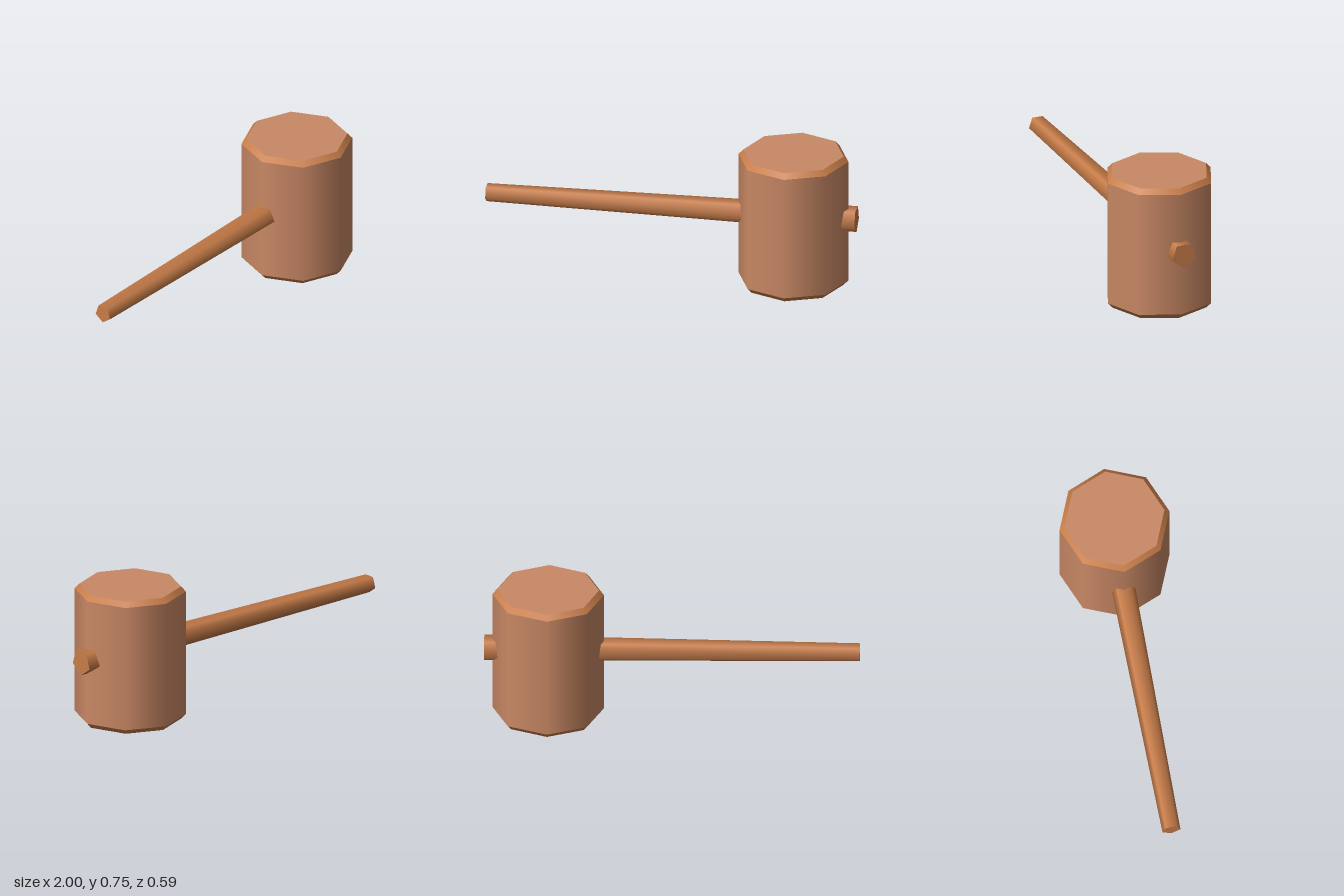
import * as THREE from 'three';

const HEAD_X = 0.659, HEAD_R = 0.297, CAP_R = 0.271, HEIGHT = 0.745, BEVEL = 0.028;
const HANDLE_Y = 0.385;

export function createModel() {
  const headWood = new THREE.MeshStandardMaterial({ color: 0xc98865 });
  headWood.name = 'headWood';
  const handleWood = new THREE.MeshStandardMaterial({ color: 0xc87d49 });
  handleWood.name = 'handleWood';

  const model = new THREE.Group();
  model.name = 'mallet';
  const add = (parent, name, geometry, material) => {
    const mesh = new THREE.Mesh(geometry, material);
    mesh.name = name;
    parent.add(mesh);
    return mesh;
  };

  // Eight-sided head: smooth barrel, orange bevel rings and flat striking faces
  const head = new THREE.Group();
  head.name = 'head';
  head.position.set(HEAD_X, HEIGHT / 2, 0);
  model.add(head);
  add(head, 'barrel', new THREE.CylinderGeometry(HEAD_R, HEAD_R, HEIGHT - 2 * BEVEL, 8, 1, true), headWood);

  for (const [side, s] of [['top', 1], ['bottom', -1]]) {
    const [upper, lower] = s > 0 ? [CAP_R, HEAD_R] : [HEAD_R, CAP_R];
    add(head, side + 'Bevel', new THREE.CylinderGeometry(upper, lower, BEVEL, 8, 1, true), handleWood)
      .position.y = s * (HEIGHT - BEVEL) / 2;
    add(head, side + 'Face', new THREE.CircleGeometry(CAP_R, 8).rotateX(-s * Math.PI / 2), headWood)
      .position.y = s * HEIGHT / 2;
  }

  // Five-sided tapered handle passing through the head, one corner pointing down
  const handle = new THREE.CylinderGeometry(0.073, 0.051, 2, 5, 1, false, Math.PI / 2);
  handle.rotateZ(-Math.PI / 2);
  add(model, 'handle', handle, handleWood).position.y = HANDLE_Y;

  return model;
}
